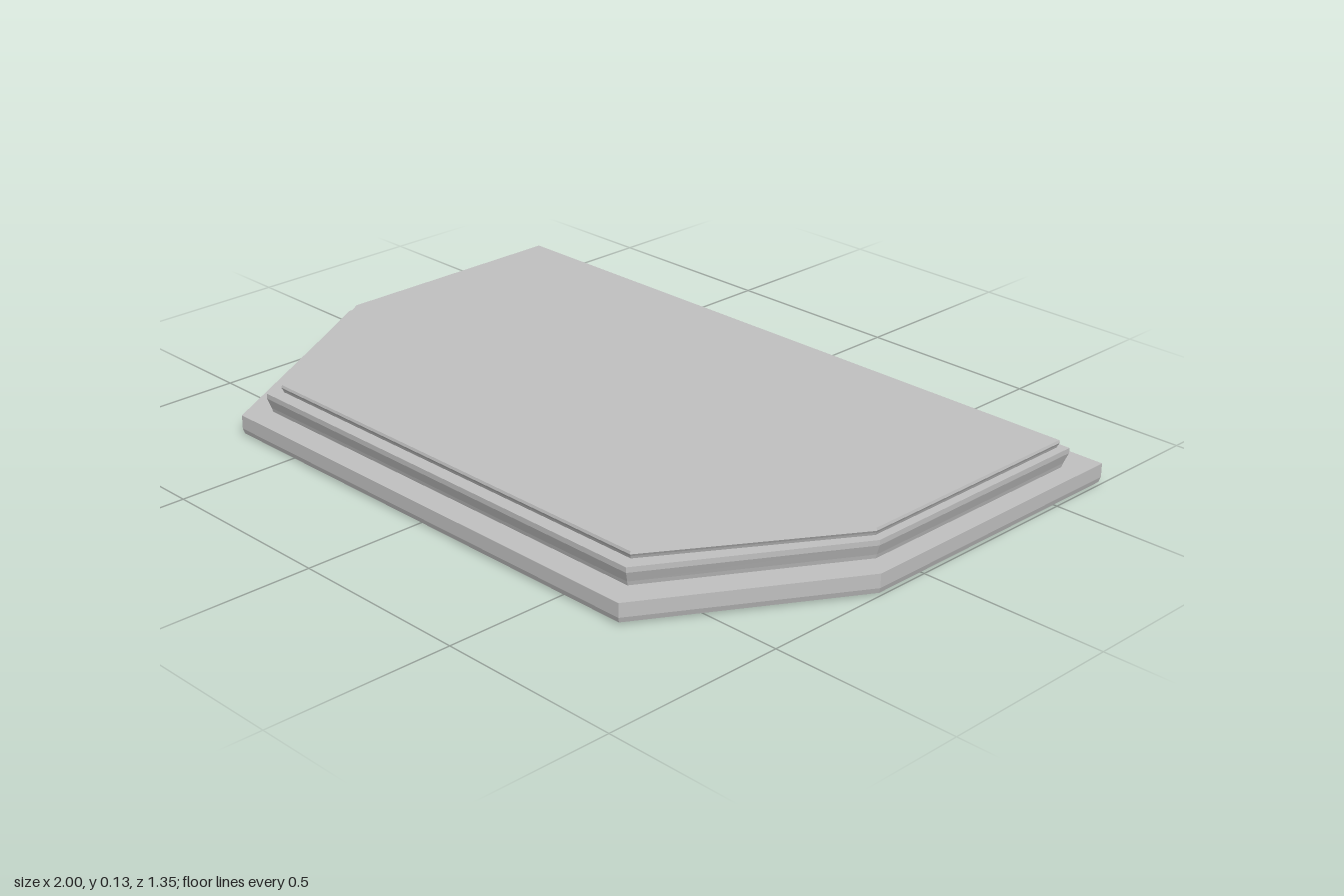
import * as THREE from 'three';

const stone = new THREE.MeshStandardMaterial({ color: 0xc0c0c0, flatShading: true });
stone.name = 'light grey stone';

// Six-sided outline: straight back and sides, front corners cut off
const outline = ({ left, right, back, front, knee, frontLeft, frontRight }) => [
  [left, back], [left, knee], [frontLeft, front],
  [frontRight, front], [right, knee], [right, back],
];

// Closed slab through rings of [y, inset], inset measured towards the middle
function slab(name, o, rings) {
  const pos = [], idx = [];
  for (const [y, d] of rings) {
    const ring = outline({
      left: o.left + d, right: o.right - d, back: o.back + d, front: o.front - d,
      knee: o.knee - d * 0.3, frontLeft: o.frontLeft + d * 0.6, frontRight: o.frontRight - d * 0.6,
    });
    for (const [x, z] of ring) pos.push(x, y, z);
  }
  const n = 6, top = (rings.length - 1) * n;
  for (let r = 0; r < rings.length - 1; r++) {
    for (let i = 0; i < n; i++) {
      const a = r * n + i, b = r * n + (i + 1) % n;
      idx.push(a, b, b + n, a, b + n, a + n);
    }
  }
  for (let i = 1; i < n - 1; i++) {
    idx.push(top, top + i, top + i + 1); // top face
    idx.push(0, i + 1, i); // underside
  }
  const indexed = new THREE.BufferGeometry();
  indexed.setAttribute('position', new THREE.Float32BufferAttribute(pos, 3));
  indexed.setIndex(idx);
  const geometry = indexed.toNonIndexed();
  geometry.computeVertexNormals();
  const mesh = new THREE.Mesh(geometry, stone);
  mesh.name = name;
  return mesh;
}

export function createModel() {
  const model = new THREE.Group();
  model.name = 'steppedPlinth';

  // Wide foot with softened lower edge
  model.add(slab('baseTier',
    { left: -1, right: 1, back: -0.675, front: 0.675, knee: 0.155, frontLeft: -0.7, frontRight: 0.69 },
    [[0, 0.015], [0.006, 0.004], [0.02, 0], [0.057, 0]]));

  // Middle step, flaring slightly upward
  model.add(slab('middleTier',
    { left: -0.97, right: 0.955, back: -0.597, front: 0.615, knee: 0.11, frontLeft: -0.67, frontRight: 0.652 },
    [[0.05, 0.013], [0.068, 0.009], [0.095, 0], [0.109, 0]]));

  // Thin top platform
  model.add(slab('topTier',
    { left: -0.952, right: 0.937, back: -0.582, front: 0.583, knee: 0.1, frontLeft: -0.65, frontRight: 0.632 },
    [[0.104, 0.007], [0.116, 0.003], [0.122, 0], [0.129, 0.002]]));

  return model;
}
